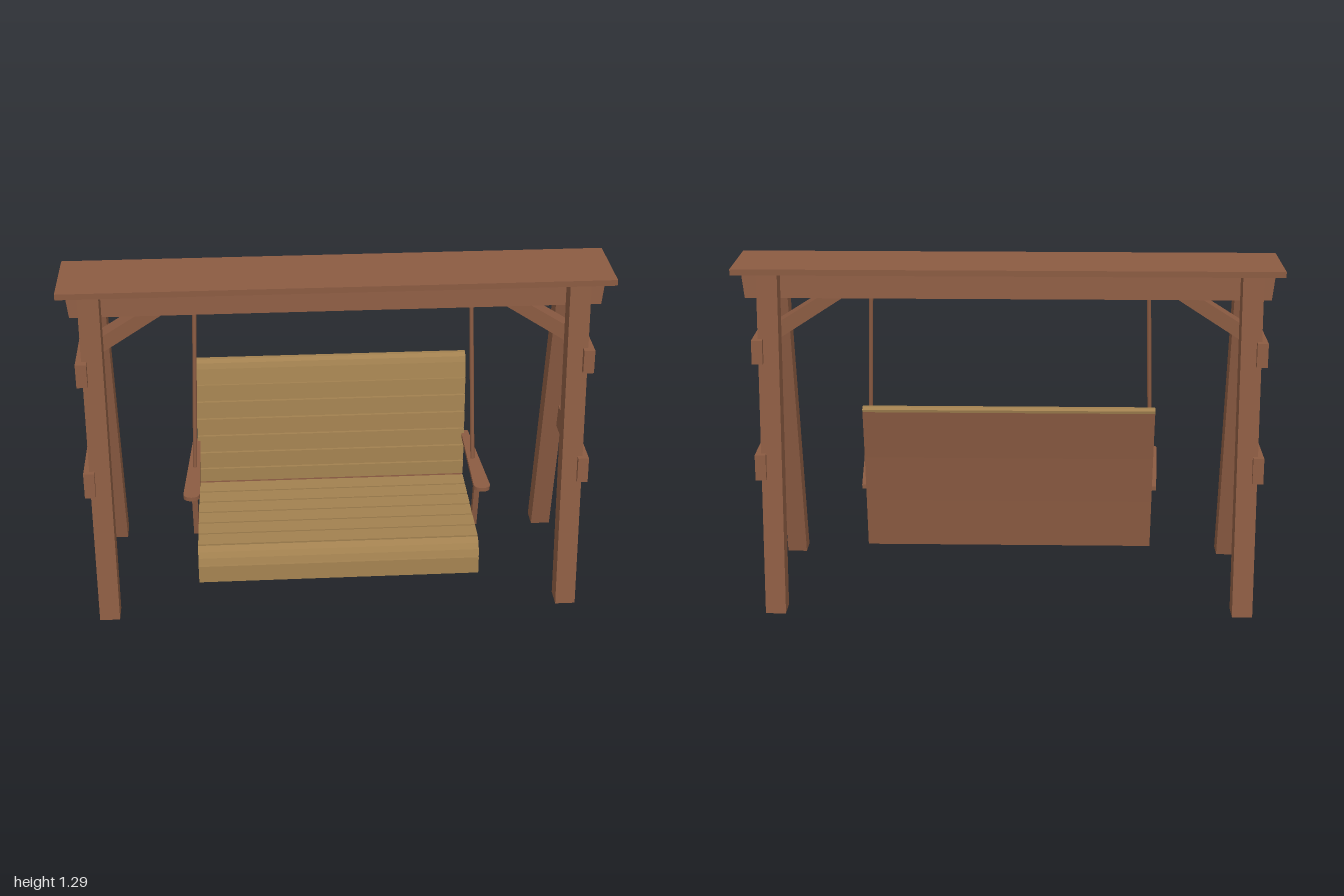
import * as THREE from 'three';

export function createModel() {
  const model = new THREE.Group();
  model.name = 'porchSwing';
  const brown = new THREE.MeshStandardMaterial({ color: 0x8b5b42 });
  brown.name = 'brown wood';
  const tan = new THREE.MeshStandardMaterial({ color: 0xa1804f });
  tan.name = 'tan slats';
  const CX = -0.008; // mirror plane of frame and seat

  const add = (name, geo, mat = brown) => {
    const m = new THREE.Mesh(geo, mat);
    m.name = name;
    model.add(m);
    return m;
  };
  // Extrude a [z, y] outline along x from x0 to x1
  const profile = (name, pts, x0, x1, mat) => {
    const shape = new THREE.Shape(pts.map(([z, y]) => new THREE.Vector2(-z, y)));
    const geo = new THREE.ExtrudeGeometry(shape, { depth: x1 - x0, bevelEnabled: false });
    geo.rotateY(Math.PI / 2).translate(x0, 0, 0);
    return add(name, geo, mat);
  };
  // Same, made once per side at a distance a..b from the mirror plane
  const pair = (name, pts, a, b, mat) => {
    profile(name + 'Left', pts, CX + a, CX + b, mat);
    profile(name + 'Right', pts, CX - b, CX - a, mat);
  };

  // Roof plank and the ridge beam, which tapers to fit between the legs
  profile('roofPlank', [[-0.15, 1.268], [0.135, 1.268], [0.135, 1.29], [-0.15, 1.29]], -1, 1);
  const beam = new THREE.BoxGeometry(1.952, 0.104, 0.124);
  const bp = beam.attributes.position;
  for (let i = 0; i < bp.count; i++) {
    if (bp.getY(i) < 0) {
      bp.setX(i, bp.getX(i) * 0.987);
      bp.setZ(i, bp.getZ(i) * 1.2);
    }
  }
  beam.translate(0, 1.217, -0.006);
  beam.computeVertexNormals();
  add('ridgeBeam', beam);

  // A-frame legs and crossbars
  pair('frontLeg', [[0.24, 0], [0.315, 0], [0.127, 1.27], [0.055, 1.27]], 0.84, 0.916);
  pair('backLeg', [[-0.322, 0], [-0.245, 0], [-0.066, 1.27], [-0.136, 1.27]], 0.84, 0.916);
  pair('upperCrossbar', [[-0.201, 0.947], [0.195, 0.947], [0.187, 1.035], [-0.193, 1.035]], 0.897, 0.937);
  pair('lowerCrossbar', [[-0.26, 0.515], [0.254, 0.515], [0.243, 0.612], [-0.251, 0.612]], 0.897, 0.937);

  for (const s of [1, -1]) {
    const side = s > 0 ? 'Left' : 'Right';

    // Diagonal brace from upper crossbar to beam
    const brace = new THREE.Shape([[0.6, 1.168], [0.91, 0.966], [0.91, 1.03], [0.692, 1.168]]
      .map(([x, y]) => new THREE.Vector2(CX + s * x, y)));
    add('brace' + side, new THREE.ExtrudeGeometry(brace, { depth: 0.079, bevelEnabled: false })
      .translate(0, 0, -0.045));

    // Hanging rod
    const a = new THREE.Vector3(CX + s * 0.51, 1.18, -0.05);
    const b = new THREE.Vector3(CX + s * 0.538, 0.475, 0.003);
    const dir = a.clone().sub(b);
    const rod = add('hangingRod' + side, new THREE.CylinderGeometry(0.008, 0.008, dir.length(), 8));
    rod.position.copy(a).add(b).multiplyScalar(0.5);
    rod.quaternion.setFromUnitVectors(new THREE.Vector3(0, 1, 0), dir.normalize());

    // Armrest: wide rounded front, narrow back
    const arm = new THREE.Shape();
    arm.moveTo(s * 0.52, 0.21);
    arm.lineTo(s * 0.548, 0.21);
    arm.lineTo(s * 0.578, -0.195);
    arm.bezierCurveTo(s * 0.578, -0.232, s * 0.516, -0.232, s * 0.516, -0.195);
    arm.closePath();
    add('armrest' + side, new THREE.ExtrudeGeometry(arm, { depth: 0.016, bevelEnabled: false })
      .rotateX(-Math.PI / 2).translate(CX, 0.467, 0));
  }
  pair('armPost', [[0.075, 0.243], [0.106, 0.243], [0.142, 0.47], [0.11, 0.47]], 0.529, 0.55);

  // Bench shell: back board, seat board and curled front lip in one profile
  const X0 = CX - 0.53, X1 = CX + 0.53;
  profile('benchShell', [
    [0.283, 0.17], [0.3, 0.17], [0.305, 0.235], [0.289, 0.265], [0.262, 0.284],
    [-0.19, 0.284], [-0.205, 0.43], [-0.233, 0.715], [-0.25, 0.795], [-0.278, 0.795],
    [-0.25, 0.607], [-0.232, 0.43], [-0.216, 0.243],
    [0.215, 0.243], [0.248, 0.235], [0.268, 0.212],
  ], X0, X1);

  // Seat slats
  for (let i = 0; i < 6; i++) {
    const z = 0.264 - i * 0.0738;
    profile('seatSlat' + (i + 1), [[z - 0.067, 0.284], [z, 0.284], [z, 0.299], [z - 0.067, 0.299]], X0, X1, tan);
  }
  // Front lip slats
  profile('lipSlatUpper', [[0.27, 0.283], [0.289, 0.265], [0.303, 0.24], [0.318, 0.242],
    [0.309, 0.265], [0.295, 0.284], [0.272, 0.298]], X0, X1, tan);
  profile('lipSlatLower', [[0.299, 0.17], [0.325, 0.168], [0.32, 0.235], [0.304, 0.235]], X0, X1, tan);

  // Backrest slats follow the leaning front of the back board
  const lean = (y) => -0.175 - 0.052 * (y - 0.3) - 0.125 * (y - 0.3) ** 2;
  const edges = [0.303, 0.364, 0.435, 0.508, 0.58, 0.652, 0.722];
  for (let i = 0; i < 6; i++) {
    const lo = edges[i], hi = edges[i + 1] - 0.006;
    profile('backSlat' + (i + 1), [[lean(lo) - 0.018, lo], [lean(lo), lo],
      [lean(hi), hi], [lean(hi) - 0.018, hi]], X0, X1, tan);
  }
  // Rounded top slat wraps over the back board
  profile('backSlatTop', [[-0.236, 0.722], [-0.219, 0.72], [-0.234, 0.78], [-0.243, 0.801],
    [-0.257, 0.812], [-0.273, 0.812], [-0.281, 0.804], [-0.279, 0.794], [-0.252, 0.794]], X0, X1, tan);

  return model;
}
